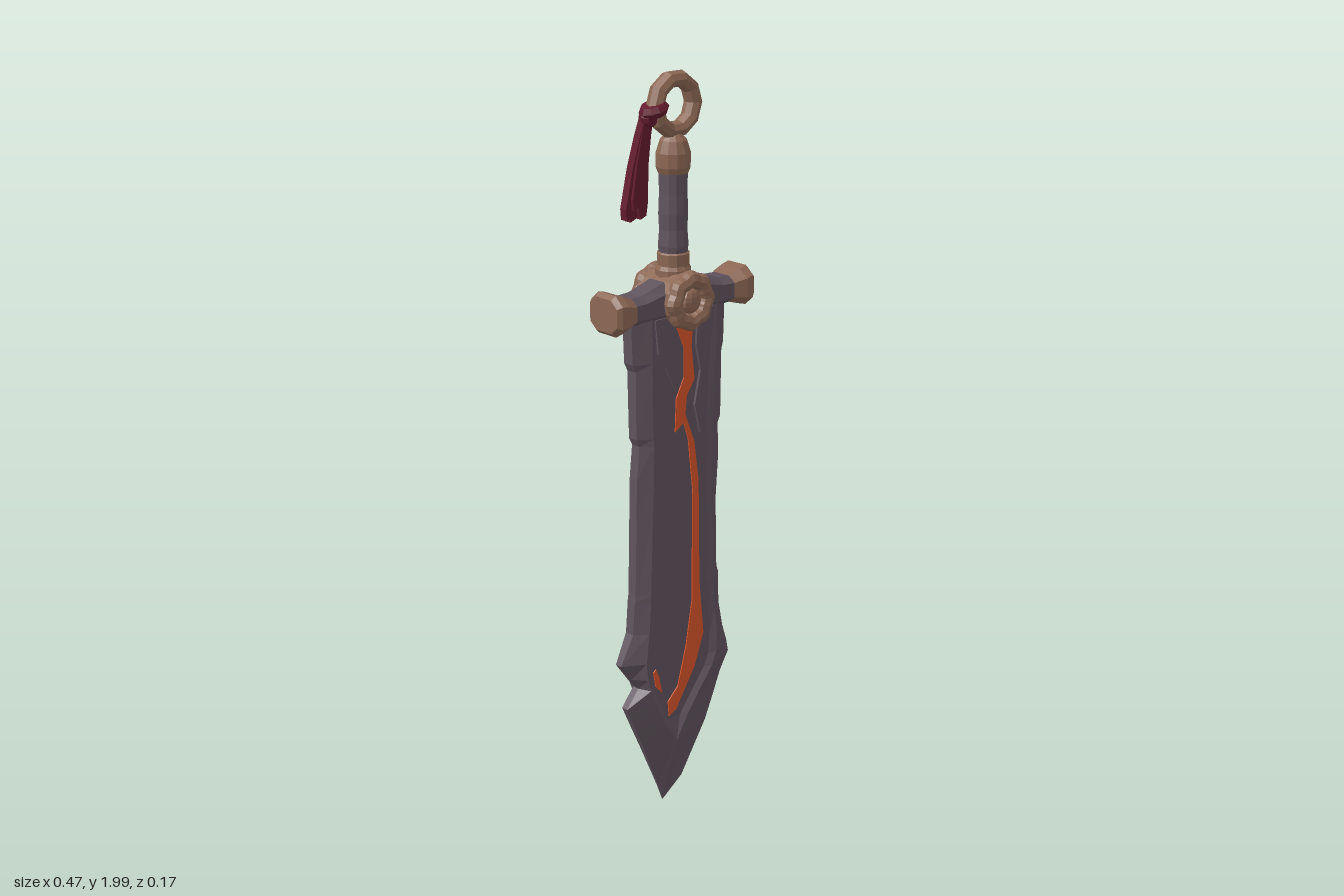
import * as THREE from 'three';

const mat = (name, color) => {
  const m = new THREE.MeshStandardMaterial({ color, flatShading: true });
  m.name = name;
  return m;
};

// Skin a list of rings (each counter-clockwise seen from the sweep direction), with both ends capped
function loft(rings) {
  const pos = [];
  const tri = (...pts) => pts.forEach((p) => pos.push(...p));
  const n = rings[0].length;
  for (let r = 0; r < rings.length - 1; r++) {
    for (let i = 0; i < n; i++) {
      const j = (i + 1) % n, a = rings[r], b = rings[r + 1];
      tri(a[i], a[j], b[j]);
      tri(a[i], b[j], b[i]);
    }
  }
  const first = rings[0], last = rings[rings.length - 1];
  for (let i = 1; i < n - 1; i++) {
    tri(first[0], first[i + 1], first[i]);
    tri(last[0], last[i], last[i + 1]);
  }
  const g = new THREE.BufferGeometry();
  g.setAttribute('position', new THREE.Float32BufferAttribute(pos, 3));
  g.computeVertexNormals();
  return g;
}

// Chamfered section across the x axis
const barRing = ([x, y, hy, hz]) =>
  [[1, .55], [.55, 1], [-.55, 1], [-1, .55], [-1, -.55], [-.55, -1], [.55, -1], [1, -.55]]
    .map(([a, b]) => [x, y + a * hy, b * hz]);

export function createModel() {
  const root = new THREE.Group();
  root.name = 'greatsword';
  const steel = mat('dark steel', 0x5f535c);
  const bronze = mat('bronze', 0x8c6754);
  const ember = mat('ember orange', 0xd8532a);
  const cloth = mat('crimson cloth', 0x641c2e);
  const add = (name, geo, m, x = 0, y = 0, z = 0, parent = root) => {
    const mesh = new THREE.Mesh(geo, m);
    mesh.name = name;
    mesh.position.set(x, y, z);
    parent.add(mesh);
    return mesh;
  };

  // Blade: y, left edge, left rim, right rim, right edge, rim depth, floor depth, edge depth
  const F = .034;
  const bladeRows = [
    [.005, -.045, -.045, -.045, -.045, .002, .002, .002],
    [.055, -.063, -.044, -.04, .025, .012, .012, .003],
    [.2, -.122, -.035, -.03, .11, .045, .045, .008],
    [.27, -.152, -.075, .01, .138, .045, F, .01],
    [.335, -.18, -.105, .06, .165, .045, F, .01],
    [.385, -.14, -.125, .1, .195, .045, F, .01],
    [.42, -.165, -.135, .115, .188, .045, F, .01],
    [.47, -.2, -.14, .118, .172, .045, F, .01],
    [.55, -.16, -.125, .113, .152, .04, F, .014],
    [.64, -.153, -.118, .108, .15, .039, F, .014],
    [.66, -.15, -.118, .108, .143, .039, F, .014],
    [.86, -.145, -.11, .103, .138, .038, F, .014],
    [.98, -.142, -.105, .103, .146, .038, F, .014],
    [1.07, -.133, -.104, .103, .143, .038, F, .014],
    [1.09, -.143, -.106, .105, .152, .038, F, .014],
    [1.27, -.145, -.11, .11, .152, .04, F, .016],
    [1.29, -.155, -.11, .11, .158, .04, F, .016],
    [1.42, -.16, -.112, .112, .162, .04, F, .016],
  ];
  add('blade', loft(bladeRows.map(([y, xl, il, ir, xr, r, f, e]) => {
    const s = Math.min(.02, (ir - il) / 2);
    return [
      [xr, e], [xr, -e], [ir, -r], [ir - s, -f], [il + s, -f], [il, -r],
      [xl, -e], [xl, e], [il, r], [il + s, f], [ir - s, f], [ir, r],
    ].map(([x, z]) => [x, y, z]);
  })), steel);

  // Thin plates laid on either face of the blade
  const plate = (pts, depth) => new THREE.ExtrudeGeometry(
    new THREE.Shape(pts.map((p) => new THREE.Vector2(...p))), { depth, bevelEnabled: false });
  const crack = plate([
    [-.03, 1.38], [0, 1.31], [0, 1.23], [-.026, 1.18], [-.03, 1.09], [0, 1.11], [.016, 1.06],
    [.032, .92], [.032, .6], [.01, .47], [-.02, .36], [-.056, .325], [-.052, .28],
    [-.026, .293], [.042, .4], [.074, .49], [.058, .65], [.053, .94], [.037, 1.05],
    [.005, 1.13], [.01, 1.18], [.037, 1.22], [.026, 1.31], [.032, 1.38],
  ], .004);
  add('glowingCrackFront', crack, ember, 0, 0, F - .001);
  add('glowingCrackBack', crack, ember, 0, 0, -F - .003);
  add('glowingSplinter', plate([[-.108, .43], [-.1, .385], [-.078, .36], [-.088, .41], [-.1, .437]], .004),
    ember, 0, 0, F - .001);

  // Pointed steel claws reaching down from the guard on both faces
  const claws = [
    [[-.1, 1.4], [-.09, 1.31], [-.065, 1.27], [-.03, 1.2], [-.018, 1.24], [-.04, 1.33], [-.045, 1.4]],
    [[.045, 1.4], [.04, 1.31], [.055, 1.24], [.035, 1.15], [.055, 1.07], [.07, 1.16], [.085, 1.26], [.1, 1.4]],
  ];
  for (const pts of claws) {
    for (const z of [F - .002, -F - .007]) add('guardClaw', plate(pts, .009), steel, 0, 0, z);
  }

  // Crossguard with flared end caps
  add('crossguard', loft([
    [-.18, 1.43, .034, .043], [-.13, 1.43, .036, .045], [-.06, 1.437, .05, .046],
    [.06, 1.437, .05, .046], [.13, 1.43, .036, .046], [.18, 1.43, .034, .048],
  ].map(barRing)), steel);
  for (const s of [1, -1]) {
    const rows = [[.165, 1.43, .034, .047], [.2, 1.432, .046, .06], [.222, 1.432, .052, .058], [.234, 1.432, .042, .05]]
      .map(([x, ...rest]) => barRing([x * s, ...rest]));
    add(s > 0 ? 'guardCapLeft' : 'guardCapRight', loft(s > 0 ? rows : rows.reverse()), bronze);
  }

  // Central boss with a lobed ring and a stud on each face
  const boss = new THREE.Group();
  boss.name = 'centralBoss';
  boss.position.set(-.005, 1.438, 0);
  root.add(boss);
  add('bossCore', new THREE.CylinderGeometry(.071, .071, .13, 16).rotateX(Math.PI / 2), bronze, 0, 0, 0, boss);
  const lobed = new THREE.TorusGeometry(.053, .022, 8, 32);
  const p = lobed.attributes.position;
  for (let i = 0; i < p.count; i++) {
    const k = 1 + .05 * Math.cos(8 * Math.atan2(p.getY(i), p.getX(i)));
    p.setXY(i, p.getX(i) * k, p.getY(i) * k);
  }
  for (const s of [1, -1]) {
    add('bossRing', lobed, bronze, 0, 0, .063 * s, boss);
    add('bossStud', new THREE.SphereGeometry(.032, 10, 8).scale(1, 1, .5), bronze, 0, 0, .066 * s, boss);
  }

  // Handle
  const lathe = (pts) => new THREE.LatheGeometry(pts.map((q) => new THREE.Vector2(...q)), 12);
  add('handleCollar', lathe([[0, 1.47], [.046, 1.47], [.046, 1.51], [.041, 1.52], [.042, 1.55], [.036, 1.555], [0, 1.555]]),
    bronze, -.003);
  add('grip', lathe([[.036, 1.54], [.039, 1.57], [.036, 1.61], [.038, 1.65], [.036, 1.7], [.037, 1.76]]), steel, -.003);
  add('pommel', lathe([[0, 1.75], [.038, 1.75], [.044, 1.765], [.044, 1.8], [.034, 1.83], [.02, 1.845], [0, 1.85]]),
    bronze, -.003);
  add('pommelRing', new THREE.TorusGeometry(.063, .021, 8, 10).scale(1, 1, 1.15), bronze, 0, 1.915);

  // Tassel knotted round the ring, its strips swinging to the back
  const knot = add('tasselKnot', new THREE.TorusGeometry(.022, .016, 6, 10).rotateX(Math.PI / 2), cloth, -.066, 1.91);
  knot.rotation.z = .3;
  add('tasselBand', new THREE.SphereGeometry(.026, 8, 6), cloth, -.074, 1.892, -.008);
  // Each strip: bottom x, bottom y, bottom z, half width
  const strips = [[-.115, 1.645, -.045, .017], [-.09, 1.635, -.06, .016], [-.066, 1.64, -.05, .015], [-.1, 1.67, -.035, .016]];
  for (const [bx, by, bz, w] of strips) {
    add('tasselStrip', loft([0, .12, .5, .8, 1].map((t) => {
      const x = bx + (-.078 - bx) * t, y = by + (1.895 - by) * t, z = bz + (-.012 - bz) * t * t;
      const h = w * (t === 0 ? .6 : 1.05 - .2 * t), d = .011;
      return [[h, d], [h, -d], [-h, -d], [-h, d]].map(([a, b]) => [x + a, y + a * .4 * (1 - t), z + b]);
    })), cloth);
  }
  return root;
}
